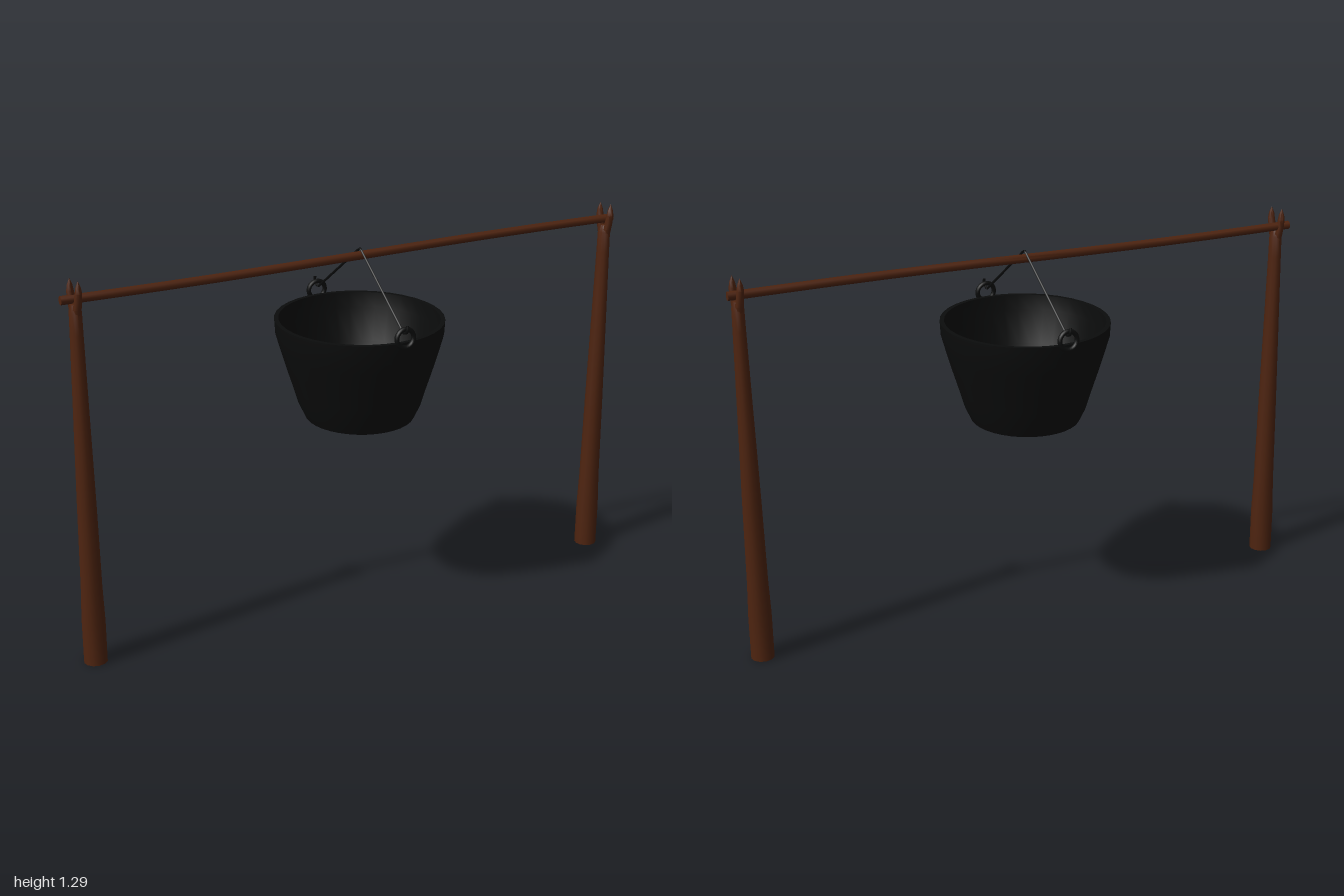
import * as THREE from 'three';
import { toCreasedNormals } from 'three/addons/utils/BufferGeometryUtils.js';

const wood = new THREE.MeshStandardMaterial({ color: 0x4e2410 });
wood.name = 'brown wood';
const iron = new THREE.MeshStandardMaterial({ color: 0x0b0c0c });
iron.name = 'black iron';

function add(parent, name, geometry, material) {
  const mesh = new THREE.Mesh(geometry, material);
  mesh.name = name;
  parent.add(mesh);
  return mesh;
}

// Turned solid from [radius, y] pairs, with hard edges kept sharp
function turned(profile, sides, crease = 0.7, reshape = null) {
  const points = profile.map(([r, y]) => new THREE.Vector2(r, y));
  const geometry = new THREE.LatheGeometry(points, sides);
  if (reshape) bend(geometry, reshape);
  return toCreasedNormals(geometry, crease);
}

// Moves every vertex by a rule
function bend(geometry, rule) {
  const pos = geometry.attributes.position;
  const v = new THREE.Vector3();
  for (let i = 0; i < pos.count; i++) {
    v.fromBufferAttribute(pos, i);
    rule(v);
    pos.setXYZ(i, v.x, v.y, v.z);
  }
  geometry.computeVertexNormals();
  return geometry;
}

// Upright post, slightly leaning, ending in a two-pronged fork
function makePost(name, base, top) {
  const post = new THREE.Group();
  post.name = name;
  const lean = (v) => {
    const t = v.y / 1.28;
    v.x += THREE.MathUtils.lerp(base[0], top[0], t);
    v.z += THREE.MathUtils.lerp(base[1], top[1], t);
  };
  const trunk = turned(
    [[0, 0], [0.039, 0], [0.039, 0.15], [0.035, 0.27], [0.032, 0.55],
      [0.029, 0.9], [0.026, 1.12], [0.025, 1.19], [0.017, 1.213], [0, 1.215]],
    12, 0.7, (v) => {
      v.x *= 1 - 0.22 * THREE.MathUtils.smoothstep(v.y, 0.4, 1.15);
      lean(v);
    });
  add(post, 'trunk', trunk, wood);

  for (const side of [1, -1]) {
    const prong = turned(
      [[0, 1.16], [0.012, 1.165], [0.014, 1.2], [0.013, 1.225],
        [0.012, 1.25], [0.009, 1.268], [0, 1.29]],
      8, 0.8, (v) => {
        const spread = THREE.MathUtils.smoothstep(v.y, 1.16, 1.26);
        v.z += side * (0.01 + 0.012 * spread);
        v.x += side * 0.006 * spread;
        lean(v);
      });
    add(post, 'forkProng', prong, wood);
  }
  return post;
}

// Wire bail from one ring up over the beam to the other
function makeBail(front, back) {
  const apex = new THREE.Vector3(0.01, 1.256, 0);
  const hook = ([x, z]) => {
    const s = Math.sign(z);
    return [
      [x, 1.082, z + s * 0.012], [x, 1.066, z + s * 0.014],
      [x, 1.056, z + s * 0.004], [x, 1.052, z - s * 0.014],
    ].map((p) => new THREE.Vector3(...p));
  };
  const group = new THREE.Group();
  group.name = 'bail';
  for (const end of [front, back]) {
    const points = hook(end);
    const start = points[points.length - 1];
    add(group, 'hook', new THREE.TubeGeometry(new THREE.CatmullRomCurve3(points), 10, 0.005, 6), iron);
    const near = apex.clone().lerp(start, 0.05);
    const path = new THREE.CurvePath();
    path.add(new THREE.LineCurve3(start, near));
    path.add(new THREE.QuadraticBezierCurve3(near, apex.clone().setY(1.258), apex));
    add(group, 'wire', new THREE.TubeGeometry(path, 24, 0.004, 6), iron);
  }
  return group;
}

export function createModel() {
  const model = new THREE.Group();
  model.name = 'hangingCauldron';

  // Posts
  model.add(makePost('rightPost', [-0.96, 0.018], [-0.953, 0.018]));
  model.add(makePost('leftPost', [0.955, -0.009], [0.964, -0.009]));

  // Crossbeam, gently uneven
  const beam = new THREE.CylinderGeometry(0.014, 0.014, 1.99, 10, 12);
  beam.rotateZ(-Math.PI / 2);
  bend(beam, (v) => {
    v.y += 1.23 + 0.003 * v.x + 0.004 * Math.sin(v.x * 3);
    v.z += -0.004 - 0.011 * v.x;
  });
  add(model, 'crossbeam', toCreasedNormals(beam, 0.8), wood);

  // Cauldron: outside, rim and inside in one profile, slightly oval
  const pot = turned(
    [[0, 0.683], [0.189, 0.683], [0.212, 0.73], [0.229, 0.785], [0.252, 0.855],
      [0.272, 0.92], [0.288, 0.975], [0.291, 1.022], [0.276, 1.022],
      [0.272, 0.97], [0.238, 0.86], [0.212, 0.78], [0.18, 0.71], [0, 0.705]],
    36, 0.5, (v) => { v.x = v.x * 0.953 + 0.008; });
  add(model, 'cauldron', pot, iron);

  // Carrying rings on the rim and the bail hooked into them
  const ends = [[0.021, 0.292], [-0.007, -0.292]];
  for (const [x, z] of ends) {
    const ring = add(model, 'carryingRing', new THREE.TorusGeometry(0.03, 0.008, 8, 24), iron);
    ring.position.set(x, 1.037, z);
    ring.rotation.x = Math.sign(z) * -0.05;
  }
  model.add(makeBail(...ends));
  return model;
}
